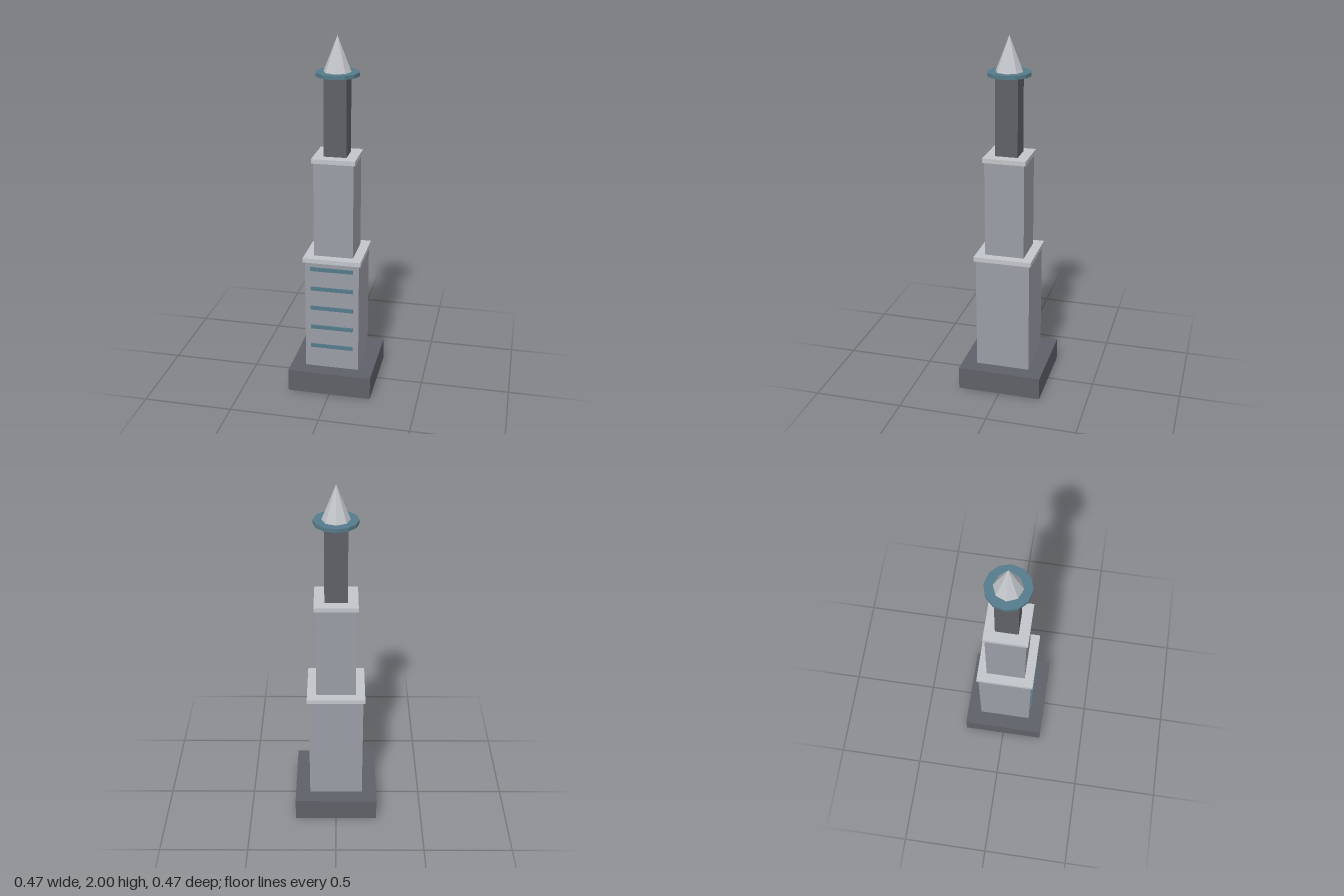
import * as THREE from 'three';

const mat = (name, color) => {
  const m = new THREE.MeshStandardMaterial({ color, flatShading: true });
  m.name = name;
  return m;
};

export function createModel() {
  const dark = mat('dark stone', 0x5f6168);
  const stone = mat('grey stone', 0x9a9da5);
  const pale = mat('pale trim', 0xc2c5ca);
  const teal = mat('teal', 0x557b8b);

  const tower = new THREE.Group();
  tower.name = 'tower';

  const add = (name, geometry, material, y, z = 0) => {
    const mesh = new THREE.Mesh(geometry, material);
    mesh.name = name;
    mesh.position.set(0, y, z);
    tower.add(mesh);
  };

  // Square stages stacked from the ground: name, width, bottom, top, material
  const stages = [
    ['base', 0.472, 0, 0.13, dark],
    ['lowerTower', 0.304, 0.13, 0.775, stone],
    ['lowerCornice', 0.324, 0.775, 0.8, pale],
    ['middleTower', 0.22, 0.8, 1.335, stone],
    ['upperCornice', 0.238, 1.335, 1.36, pale],
    ['upperShaft', 0.124, 1.36, 1.79, dark],
  ];
  for (const [name, w, y0, y1, material] of stages) {
    add(name, new THREE.BoxGeometry(w, y1 - y0, w), material, (y0 + y1) / 2);
  }

  // Window bands on the front
  for (let i = 0; i < 5; i++) {
    add('windowBand', new THREE.BoxGeometry(0.24, 0.022, 0.009), teal, 0.263 + i * 0.1185, 0.1545);
  }

  // Twelve-sided platform and eight-sided spire
  add('platform', new THREE.CylinderGeometry(0.119, 0.119, 0.02, 12), teal, 1.8);
  add('spire', new THREE.ConeGeometry(0.075, 0.19, 8), pale, 1.905);

  return tower;
}
